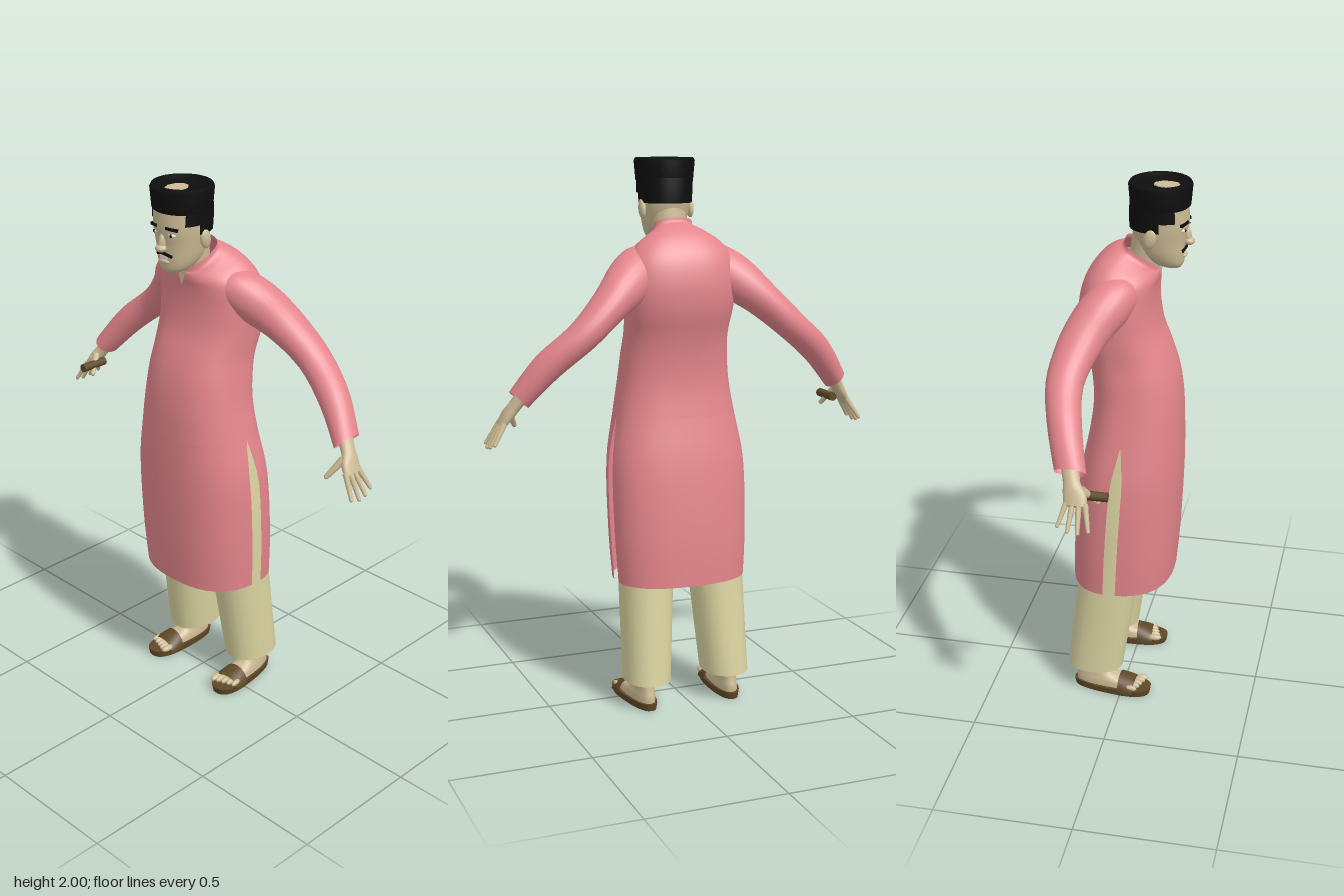
import * as THREE from 'three';

const mat = (name, color, side = THREE.FrontSide) => {
  const m = new THREE.MeshStandardMaterial({ color, side });
  m.name = name;
  return m;
};
const { sin, cos, abs, sign, PI, min, max } = Math;
const V = (x, y, z) => new THREE.Vector3(x, y, z);

// Catmull-Rom interpolation between rows of cross-section values
function dense(rows, steps) {
  const out = [];
  const at = i => rows[min(max(i, 0), rows.length - 1)];
  for (let i = 0; i < rows.length - 1; i++) {
    for (let k = 0; k < steps; k++) {
      const t = k / steps;
      out.push(rows[i].map((p1, j) => {
        const p0 = at(i - 1)[j], p2 = at(i + 1)[j], p3 = at(i + 2)[j];
        return p1 + 0.5 * t * (p2 - p0 + t * (2 * p0 - 5 * p1 + 4 * p2 - p3 + t * (3 * (p1 - p2) + p3 - p0)));
      }));
    }
  }
  out.push(rows[rows.length - 1]);
  return out;
}

// Skin over rows of cross-sections; open arcs when a1 - a0 is below a full turn
function loft(rows, point, { a0 = 0, a1 = 2 * PI, seg = 24, cap = false } = {}) {
  const closed = a1 - a0 > 6.28, n = closed ? seg : seg + 1;
  const pos = [], idx = [];
  const ring = r => Array.from({ length: n }, (_, j) => point(r, a0 + (a1 - a0) * j / seg));
  rows.forEach(r => ring(r).forEach(p => pos.push(p.x, p.y, p.z)));
  for (let i = 0; i < rows.length - 1; i++) {
    for (let j = 0; j < seg; j++) {
      const a = i * n + j, b = i * n + (j + 1) % n;
      idx.push(a, a + n, b, b, a + n, b + n);
    }
  }
  if (cap) {
    [rows[0], rows[rows.length - 1]].forEach((r, end) => {
      const pts = ring(r), base = pos.length / 3, mid = V(0, 0, 0);
      pts.forEach(p => { pos.push(p.x, p.y, p.z); mid.addScaledVector(p, 1 / n); });
      pos.push(mid.x, mid.y, mid.z);
      for (let j = 0; j < n; j++) {
        const a = base + j, b = base + (j + 1) % n;
        end ? idx.push(a, base + n, b) : idx.push(a, b, base + n);
      }
    });
  }
  const g = new THREE.BufferGeometry();
  g.setAttribute('position', new THREE.Float32BufferAttribute(pos, 3));
  g.setIndex(idx);
  g.computeVertexNormals();
  return g;
}

// Horizontal section [y, halfWidth, zFront, zBack, tilt, centreX]
const section = (power, shift = 0, grow = 0) => ([y, hx, zf, zb, tilt = 0, cx = 0], a) => {
  const c = (zf + zb) / 2 + shift, s = sin(a), k = cos(a);
  const z = c + sign(s) * abs(s) ** power * ((s > 0 ? zf - c : c - zb) + grow);
  return V(cx + sign(k) * abs(k) ** power * (hx + grow), y - tilt * (z - (zf + zb) / 2), z);
};
// Section of an arm: [x, y, z, thickness, depth]
const armSection = ([x, y, z, ru, rv], a) =>
  V(x + 0.72 * ru * cos(a), y + 0.7 * ru * cos(a), z - rv * sin(a));

function add(group, name, geometry, material, p = [0, 0, 0], s = [1, 1, 1], r = [0, 0, 0]) {
  const m = new THREE.Mesh(geometry, material);
  m.name = name;
  m.position.set(...p); m.scale.set(...s); m.rotation.set(...r);
  group.add(m);
  return m;
}
// Tapered rod between two points
function rod(group, name, a, b, r0, r1, material, sides = 8) {
  const d = b.clone().sub(a);
  const m = add(group, name, new THREE.CylinderGeometry(r1, r0, d.length(), sides), material);
  m.position.copy(a).addScaledVector(d, 0.5);
  m.quaternion.setFromUnitVectors(V(0, 1, 0), d.normalize());
}
// Mirror a finished group across x = 0
function mirror(group, name) {
  const out = new THREE.Group();
  out.name = name;
  group.updateMatrixWorld(true);
  group.traverse(o => {
    if (!o.isMesh) return;
    const g = o.geometry.clone().applyMatrix4(o.matrixWorld);
    g.scale(-1, 1, 1);
    const ix = g.index.array;
    for (let i = 0; i < ix.length; i += 3) [ix[i], ix[i + 1]] = [ix[i + 1], ix[i]];
    add(out, o.name, g, o.material);
  });
  return out;
}

export function createModel() {
  const pink = mat('pink cloth', 0xe4868c, THREE.DoubleSide);
  const cream = mat('cream cloth', 0xdad3a0, THREE.DoubleSide);
  const skin = mat('skin', 0xcdbb95);
  const black = mat('black felt', 0x0e0e0e, THREE.DoubleSide);
  const brown = mat('brown leather', 0x5f4828, THREE.DoubleSide);
  const white = mat('white', 0xe6e2d6);
  const model = new THREE.Group();
  const ball = new THREE.SphereGeometry(1, 16, 12), box = new THREE.BoxGeometry(1, 1, 1);

  // Long tunic: closed body above, front and back panels split at the sides below
  const tunic = dense([
    [0.47, 0.245, 0.17, -0.205, 0], [0.65, 0.255, 0.185, -0.2, 0], [0.9, 0.255, 0.195, -0.175, 0],
    [1.08, 0.225, 0.195, -0.14, 0], [1.2, 0.205, 0.19, -0.125, 0], [1.3, 0.195, 0.175, -0.13, 0],
    [1.38, 0.19, 0.15, -0.145, 0], [1.47, 0.198, 0.115, -0.17, 0], [1.56, 0.205, 0.1, -0.175, 0],
    [1.64, 0.195, 0.1, -0.155, 0.1], [1.69, 0.16, 0.105, -0.11, 0.3], [1.72, 0.105, 0.105, -0.06, 0.5],
    [1.73, 0.077, 0.1, -0.025, 0.7], [1.75, 0.072, 0.1, -0.018, 0.7],
  ], 4);
  const cloth = section(0.82, -0.02);
  add(model, 'tunicBody', loft(tunic.slice(12), cloth, { seg: 40 }), pink);
  [['tunicFrontPanel', 0], ['tunicBackPanel', PI]].forEach(([name, a0]) => {
    const mid = a0 + PI / 2;
    const slit = (r, a) => cloth(r, mid + (a - mid) * (1 - 0.05 * min(1, max(0, (1.08 - r[0]) / 0.15))));
    add(model, name, loft(tunic.slice(0, 13), slit, { a0, a1: a0 + PI, seg: 20 }), pink);
  });
  // Neck opening
  const notch = new THREE.Shape([[-0.024, 0.035], [0, -0.035], [0.024, 0.035]].map(p => new THREE.Vector2(...p)));
  add(model, 'neckOpening', new THREE.ShapeGeometry(notch), skin, [0, 1.667, 0.109], [1, 1, 1], [-0.03, 0, 0]);

  // Head and neck
  add(model, 'neck', loft([[1.64, 0.062, 0.09, -0.02], [1.73, 0.06, 0.11, -0.005], [1.83, 0.07, 0.14, 0.01]],
    section(1)), skin);
  const headRows = dense([
    [1.698, 0.028, 0.178, 0.115], [1.715, 0.054, 0.188, 0.08], [1.75, 0.073, 0.192, 0.04],
    [1.8, 0.084, 0.195, 0.016], [1.86, 0.092, 0.204, 0.004], [1.94, 0.095, 0.2, 0.005],
  ], 4);
  add(model, 'head', loft(headRows, section(0.9), { seg: 32, cap: true }), skin);
  add(model, 'hair', loft([[1.84, 0.09, 0.2, 0.004], [1.88, 0.093, 0.204, 0.002], [1.93, 0.095, 0.2, 0.004]],
    section(0.9, 0, 0.006), { a0: PI * 0.97, a1: PI * 2.03 }), black);
  add(model, 'hairTop', loft([[1.875, 0.093, 0.204, 0.004], [1.93, 0.095, 0.2, 0.005]],
    section(0.9, 0, 0.006), { a0: PI * 0.8, a1: PI * 2.2 }), black);
  add(model, 'nose', ball, skin, [0, 1.812, 0.198], [0.014, 0.036, 0.016], [-0.15, 0, 0]);
  add(model, 'noseTip', ball, skin, [0, 1.792, 0.205], [0.021, 0.014, 0.02]);
  add(model, 'teeth', box, white, [0, 1.757, 0.19], [0.032, 0.009, 0.008]);
  add(model, 'lowerLip', ball, skin, [0, 1.742, 0.19], [0.025, 0.008, 0.009]);
  for (const s of [1, -1]) {
    add(model, 'ear', ball, skin, [s * 0.093, 1.82, 0.085], [0.013, 0.036, 0.022], [0.2, 0, 0]);
    add(model, 'eyebrow', box, black, [s * 0.043, 1.865, 0.195], [0.045, 0.01, 0.009], [0, s * 0.35, -s * 0.1]);
    add(model, 'eyeWhite', ball, white, [s * 0.04, 1.842, 0.191], [0.015, 0.007, 0.008], [0, s * 0.35, 0]);
    add(model, 'pupil', ball, black, [s * 0.04, 1.842, 0.196], [0.006, 0.006, 0.005]);
    add(model, 'moustache', box, black, [s * 0.018, 1.769, 0.191], [0.038, 0.01, 0.009], [0, s * 0.25, -s * 0.25]);
  }

  // Round cap with a recessed crown and a bare patch
  const profile = [[0.1, 1.915], [0.105, 1.92], [0.111, 1.99], [0.106, 2], [0.084, 2], [0.078, 1.988], [0, 1.986]];
  add(model, 'cap', new THREE.LatheGeometry(profile.map(p => new THREE.Vector2(...p)), 32), black, [0, 0, 0.104]);
  add(model, 'crownPatch', new THREE.CylinderGeometry(1, 1, 0.004, 9), skin, [-0.003, 1.988, 0.126], [0.036, 1, 0.046]);

  // Arm and hand
  const arm = new THREE.Group();
  arm.name = 'leftArm';
  add(arm, 'sleeve', loft(dense([
    [0.06, 1.65, -0.01, 0.075, 0.07], [0.13, 1.625, -0.03, 0.085, 0.09], [0.2, 1.575, -0.065, 0.085, 0.095],
    [0.29, 1.5, -0.115, 0.066, 0.08], [0.4, 1.4, -0.145, 0.056, 0.065], [0.52, 1.297, -0.118, 0.053, 0.06],
    [0.615, 1.18, -0.078, 0.042, 0.055],
  ], 4), armSection), pink);
  add(arm, 'palm', loft(dense([
    [0.595, 1.205, -0.085, 0.026, 0.032], [0.63, 1.155, -0.07, 0.022, 0.03],
    [0.65, 1.125, -0.056, 0.021, 0.04], [0.675, 1.087, -0.048, 0.013, 0.04],
  ], 3), armSection, { seg: 16, cap: true }), skin);
  for (let i = 0; i < 4; i++) {
    const z = -0.08 + i * 0.021, reach = [0.8, 0.95, 1, 0.9][i];
    const knuckle = V(0.668, 1.098, z);
    const tip = V(0.668 + 0.052 * reach, 1.098 - 0.086 * reach, -0.102 + i * 0.035);
    rod(arm, 'finger', knuckle, tip, 0.011, 0.007, skin);
    add(arm, 'fingertip', ball, skin, tip.toArray(), [0.007, 0.007, 0.007]);
  }
  rod(arm, 'thumb', V(0.64, 1.135, -0.035), V(0.608, 1.075, 0.012), 0.015, 0.009, skin);
  add(arm, 'thumbTip', ball, skin, [0.608, 1.075, 0.012], [0.009, 0.009, 0.009]);
  model.add(arm, mirror(arm, 'rightArm'));
  rod(model, 'heldStick', V(-0.622, 1.105, -0.06), V(-0.622, 1.105, 0.05), 0.016, 0.016, brown, 12);

  // Trouser leg
  const leg = new THREE.Group();
  leg.name = 'leftLeg';
  add(leg, 'trouserLeg', loft(dense([
    [0.107, 0.085, 0, -0.213, 0, 0.155], [0.47, 0.098, 0.053, -0.17, 0, 0.139],
    [0.8, 0.108, 0.1, -0.145, 0, 0.125], [1.1, 0.1, 0.12, -0.1, 0, 0.1],
  ], 4), section(0.9)), cream);

  // Foot and sandal, turned slightly outward
  const foot = new THREE.Group();
  foot.name = 'foot';
  foot.position.set(0.172, 0, -0.04);
  foot.rotation.y = 0.07;
  const outline = (r, a) => {
    const p = section(0.8)(r, a);
    p.x *= 1 + 1.3 * p.z;
    return p;
  };
  add(foot, 'sole', loft([[0.004, 0.05, 0.15, -0.145], [0.03, 0.054, 0.155, -0.15]], outline, { cap: true }), brown);
  add(foot, 'footBody', loft(dense([
    [0.025, 0.044, 0.1, -0.138], [0.05, 0.042, 0.075, -0.138], [0.08, 0.036, 0, -0.13], [0.15, 0.034, -0.04, -0.12],
  ], 4), outline), skin);
  for (let i = 0; i < 5; i++) {
    const x = -0.042 + i * 0.021;
    add(foot, 'toe', ball, skin, [x, 0.039, 0.107 - i * 0.006], [i ? 0.01 : 0.014, 0.012, 0.027]);
  }
  const band = ([z, w, h], a) => V(w * cos(a), 0.02 + h * sin(a), z);
  add(foot, 'strap', loft([[0.095, 0.059, 0.036], [0.07, 0.06, 0.046], [0.035, 0.056, 0.056]], band, { a1: PI, seg: 16 }), brown);
  leg.add(foot);
  model.add(leg, mirror(leg, 'rightLeg'));
  return model;
}
